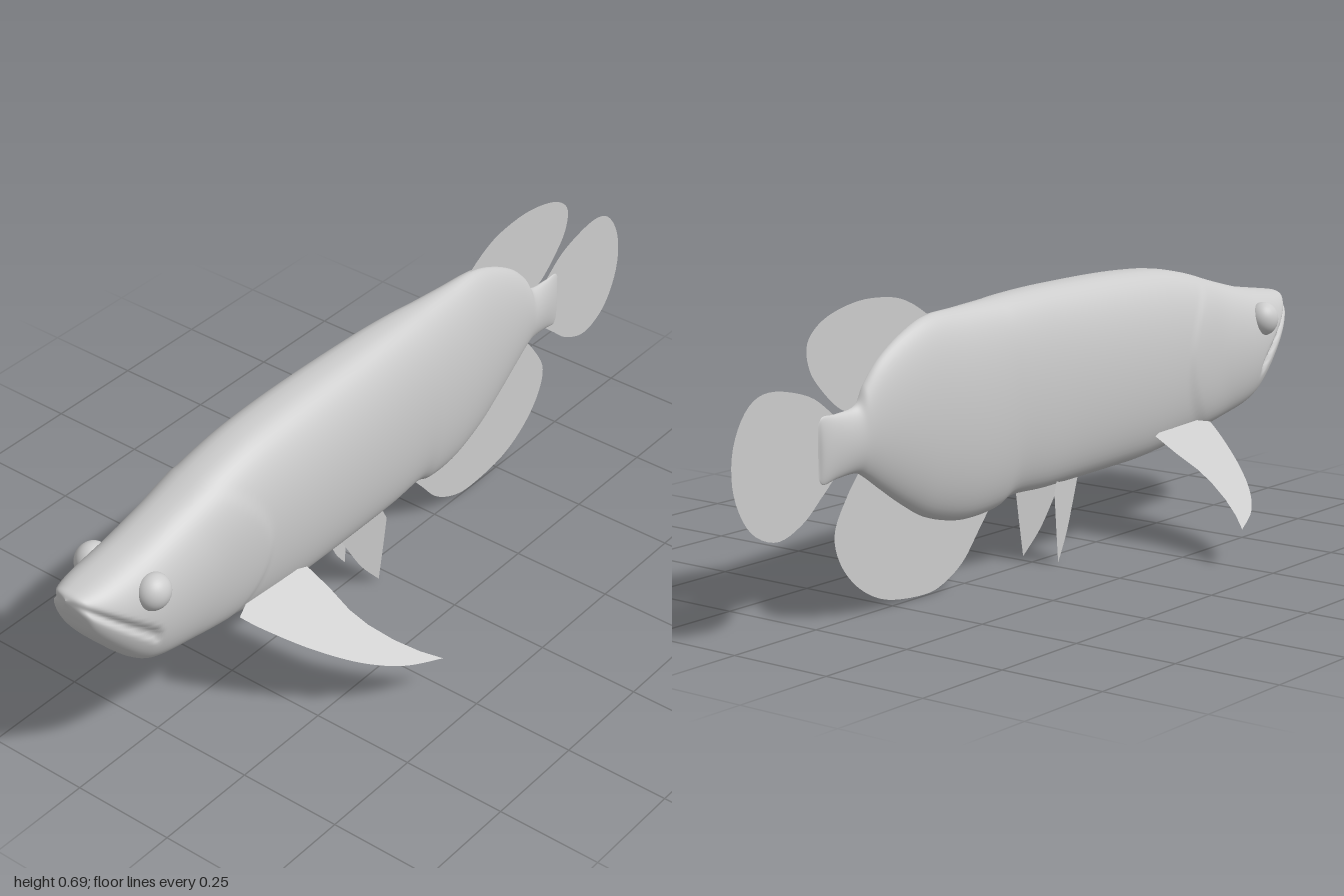
import * as THREE from 'three';

const skin = new THREE.MeshStandardMaterial({ color: 0xcccccc, side: THREE.DoubleSide });
skin.name = 'silver grey';

// Body stations from snout to tail: x, top, bottom, half width
const STATIONS = [
  [-1, 0.512, 0.505, 0], [-0.99, 0.522, 0.465, 0.042], [-0.97, 0.526, 0.417, 0.062],
  [-0.925, 0.533, 0.358, 0.082], [-0.86, 0.543, 0.291, 0.096], [-0.8, 0.554, 0.257, 0.102],
  [-0.69, 0.582, 0.235, 0.107], [-0.58, 0.613, 0.219, 0.111], [-0.47, 0.634, 0.203, 0.113],
  [-0.36, 0.643, 0.191, 0.114], [-0.25, 0.647, 0.187, 0.112], [-0.12, 0.648, 0.184, 0.107],
  [0.01, 0.647, 0.181, 0.099], [0.12, 0.643, 0.182, 0.091], [0.18, 0.639, 0.16, 0.085],
  [0.28, 0.634, 0.154, 0.075], [0.385, 0.628, 0.179, 0.062], [0.465, 0.6, 0.221, 0.051],
  [0.54, 0.556, 0.27, 0.04], [0.59, 0.508, 0.304, 0.032], [0.62, 0.465, 0.318, 0.027],
  [0.68, 0.456, 0.316, 0.017], [0.72, 0.456, 0.31, 0.009], [0.735, 0.44, 0.325, 0],
];

function makeBody() {
  const curve = (k) => new THREE.CatmullRomCurve3(
    STATIONS.map((s) => new THREE.Vector3(s[0], s[k], s[3])), false, 'catmullrom', 0.5);
  const upper = curve(1), lower = curve(2);
  const steps = 253, sides = 64, pos = [], index = [];
  const { smoothstep, lerp } = THREE.MathUtils;
  for (let i = 0; i <= steps; i++) {
    const a = upper.getPoint(i / steps), b = lower.getPoint(i / steps);
    const x = a.x, mid = (a.y + b.y) / 2, half = (a.y - b.y) / 2, width = Math.max(a.z, 0);
    const tail = smoothstep(x, 0, 0.6);
    for (let j = 0; j < sides; j++) {
      const t = (j / sides) * Math.PI * 2, s = Math.sin(t), c = Math.cos(t);
      const y = mid + half * s;
      // full flanks in front, lens-shaped section towards the tail
      const power = lerp(0.68 + 0.1 * s, 1.15, tail);
      let z = width * Math.sign(c) * Math.pow(Math.abs(c), power);
      // slanted mouth groove
      const mouth = y - (0.51 - 0.88 * (x + 1));
      z *= 1 - 0.17 * Math.exp(-((mouth / 0.011) ** 2)) * (1 - smoothstep(x, -0.84, -0.81));
      // gill cover with a curved rear edge
      const d = x - (-0.487 - 3.5 * (y - 0.41) ** 2);
      z *= 1 + 0.035 * smoothstep(d, -0.16, -0.02) * (1 - smoothstep(d, -0.005, 0.015));
      pos.push(x, y, z);
      if (i < steps) {
        const k = (j + 1) % sides, p = i * sides, q = p + sides;
        index.push(p + j, q + j, q + k, p + j, q + k, p + k);
      }
    }
  }
  const g = new THREE.BufferGeometry();
  g.setAttribute('position', new THREE.Float32BufferAttribute(pos, 3));
  g.setIndex(index);
  g.computeVertexNormals();
  return g;
}

// Thin fin: smooth outline plus straight root points; place() sets depth by a rule
function makeFin(outline, root, place) {
  const pts = new THREE.SplineCurve(outline.map((p) => new THREE.Vector2(...p))).getPoints(48);
  root.forEach((p) => pts.push(new THREE.Vector2(...p)));
  const g = new THREE.ShapeGeometry(new THREE.Shape(pts));
  if (place) {
    const p = g.attributes.position;
    for (let i = 0; i < p.count; i++) p.setXYZ(i, ...place(p.getX(i), p.getY(i)));
    g.computeVertexNormals();
  }
  return g;
}

export function createModel() {
  const model = new THREE.Group();
  model.name = 'fish';
  const add = (name, geometry) => {
    const m = new THREE.Mesh(geometry, skin);
    m.name = name;
    model.add(m);
    return m;
  };

  add('body', makeBody());

  // Fins on the centre line
  add('dorsalFin', makeFin(
    [[0.37, 0.628], [0.43, 0.662], [0.495, 0.682], [0.6, 0.687], [0.706, 0.664], [0.763, 0.62],
      [0.758, 0.56], [0.717, 0.508], [0.665, 0.465], [0.62, 0.45]],
    [[0.58, 0.45], [0.5, 0.54], [0.4, 0.6]]));
  add('tailFin', makeFin(
    [[0.685, 0.455], [0.76, 0.505], [0.877, 0.532], [0.948, 0.508], [0.993, 0.43], [0.993, 0.335],
      [0.946, 0.25], [0.866, 0.214], [0.786, 0.238], [0.727, 0.283], [0.685, 0.318]],
    [[0.67, 0.386]]));
  add('analFin', makeFin(
    [[0.14, 0.18], [0.2, 0.112], [0.255, 0.053], [0.325, 0.016], [0.395, 0.005], [0.52, 0.02],
      [0.61, 0.064], [0.67, 0.13], [0.686, 0.2], [0.645, 0.272], [0.6, 0.325]],
    [[0.5, 0.27], [0.38, 0.2], [0.25, 0.18]]));

  // Paired parts
  for (const [side, s] of [['left', 1], ['right', -1]]) {
    const flank = s > 0 ? 'front' : 'rear';
    // sickle-shaped pectoral fin, drawn in plan and sloped downwards
    add(flank + 'PectoralFin', makeFin(
      [[-0.58, 0.1], [-0.555, 0.15], [-0.5, 0.235], [-0.43, 0.315], [-0.35, 0.373], [-0.257, 0.41]],
      [[-0.29, 0.37], [-0.32, 0.32], [-0.342, 0.265], [-0.35, 0.22], [-0.347, 0.16], [-0.35, 0.1],
        [-0.4, 0.085], [-0.54, 0.085]],
      (x, z) => [x, 0.26 - 0.53 * (z - 0.09), s * z]));
    // small pelvic fin, flaring outwards to the rear
    add(flank + 'PelvicFin', makeFin(
      [[-0.15, 0.188], [-0.12, 0.13], [-0.08, 0.06], [-0.032, 0.002]],
      [[-0.02, 0.09], [-0.01, 0.17], [-0.03, 0.215], [-0.13, 0.215]],
      (x, y) => [x, y, s * (0.02 + 0.264 * (x + 0.15))]));
    // bulging eye
    const eye = add(flank + 'Eye', new THREE.SphereGeometry(0.042, 32, 20));
    eye.position.set(-0.83, 0.474, s * 0.086);
    eye.scale.z = 0.88;
  }
  return model;
}
